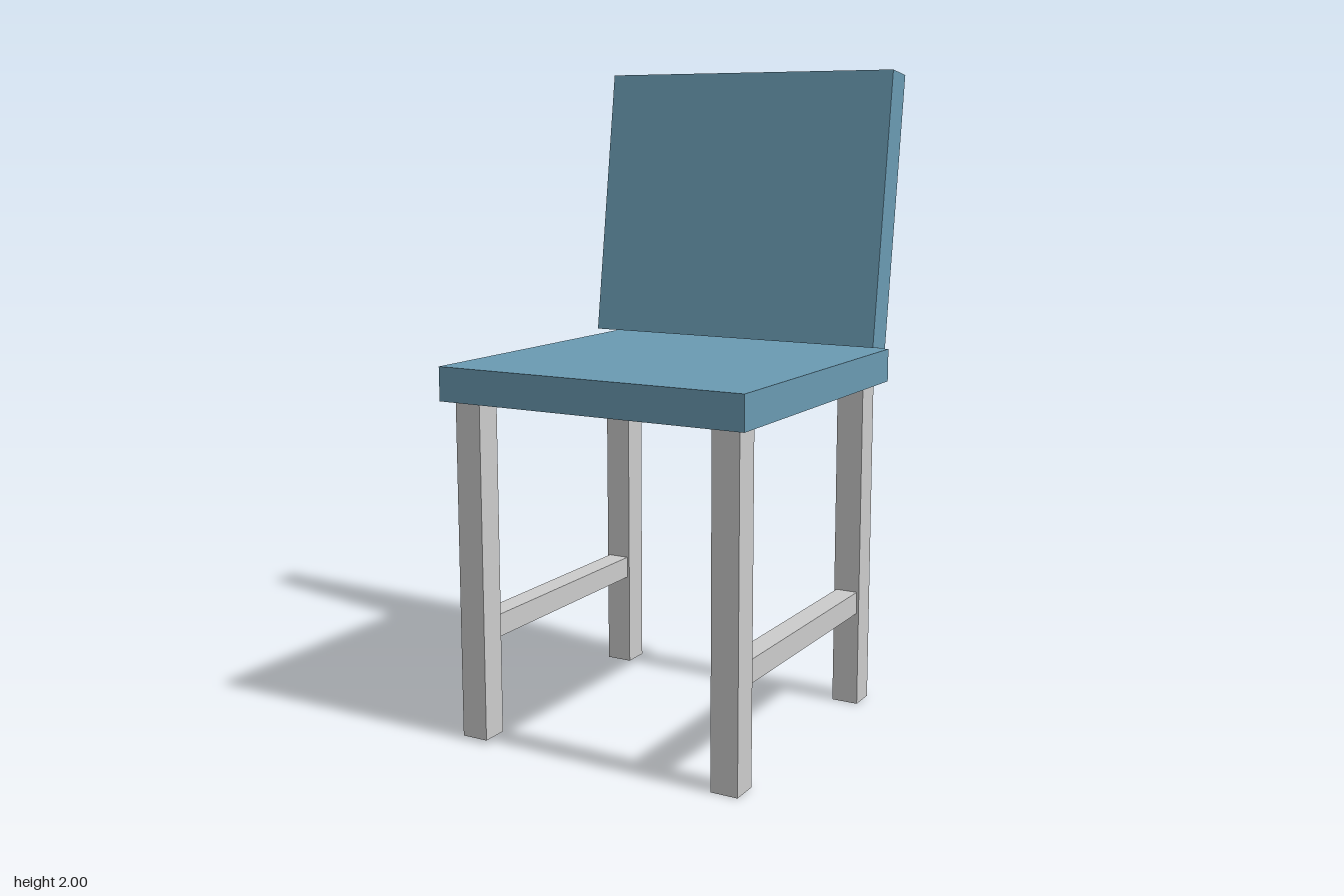
import * as THREE from 'three';

const blue = new THREE.MeshStandardMaterial({ color: 0x6a9ab2 });
const grey = new THREE.MeshStandardMaterial({ color: 0xcccccc });

function box(name, material, [w, h, d], [x, y, z]) {
  const mesh = new THREE.Mesh(new THREE.BoxGeometry(w, h, d), material);
  mesh.name = name;
  mesh.position.set(x, y, z);
  return mesh;
}

export function createModel() {
  const chair = new THREE.Group();
  chair.name = 'chair';

  // Seat slab, a hair above the leg tops
  chair.add(box('seat', blue, [1, 0.103, 0.996], [0, 1.086, 0.045]));

  // Reclined backrest with a cross rail just breaking its rear face
  const back = new THREE.Group();
  back.name = 'back';
  back.position.set(0, 1.571, -0.433);
  back.rotation.x = -0.14;
  back.add(box('backrest', blue, [1, 0.852, 0.1], [0, 0, 0]));
  back.add(box('backRail', grey, [0.86, 0.006, 0.04], [0, -0.18, -0.031]));
  chair.add(back);

  // Square legs and side stretchers, mirrored left and right
  const leg = 0.085, legHeight = 1.028, frontZ = 0.465, backZ = -0.37;
  for (const [side, s] of [['left', 1], ['right', -1]]) {
    const x = s * 0.426;
    chair.add(box(side + 'FrontLeg', grey, [leg, legHeight, leg], [x, legHeight / 2, frontZ]));
    chair.add(box(side + 'BackLeg', grey, [leg, legHeight, leg], [x, legHeight / 2, backZ]));
    chair.add(box(side + 'Stretcher', grey, [0.07, 0.07, frontZ - backZ - leg],
      [x, 0.335, (frontZ + backZ) / 2]));
  }
  return chair;
}
